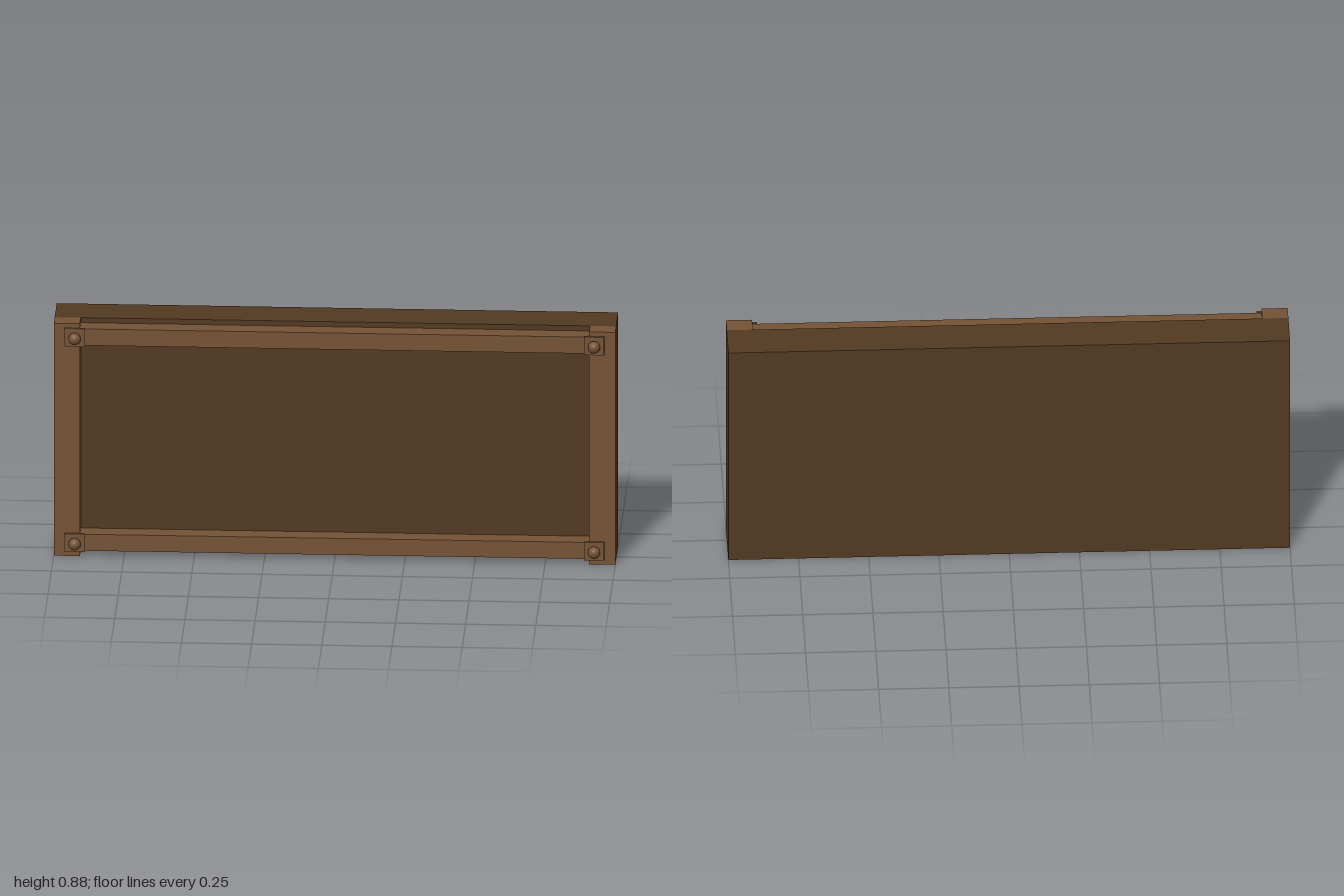
import * as THREE from 'three';

export function createModel() {
  const model = new THREE.Group();
  const darkWood = new THREE.MeshStandardMaterial({ color: 0x533a22 });
  darkWood.name = 'darkWood';
  const lightWood = new THREE.MeshStandardMaterial({ color: 0x765336 });
  lightWood.name = 'lightWood';

  // Box given by its lower and upper corners
  const box = (name, material, [x0, y0, z0], [x1, y1, z1]) => {
    const mesh = new THREE.Mesh(new THREE.BoxGeometry(x1 - x0, y1 - y0, z1 - z0), material);
    mesh.position.set((x0 + x1) / 2, (y0 + y1) / 2, (z0 + z1) / 2);
    mesh.name = name;
    model.add(mesh);
  };

  const height = 0.876;
  const panelFront = 0.02;
  const frameFront = 0.085;
  const plateFront = 0.095;

  // Thick backing panel
  box('panel', darkWood, [-1, 0, -0.13], [1, height, panelFront]);

  // Upright posts at both ends
  box('leftPost', lightWood, [0.907, 0, panelFront], [1, height, frameFront]);
  box('rightPost', lightWood, [-1, 0, panelFront], [-0.907, height, frameFront]);

  // Rails between the posts, with a corner plate and round stud at each end
  const studGeometry = new THREE.SphereGeometry(0.022, 20, 14);
  for (const [level, y] of [['lower', 0.052], ['upper', 0.826]]) {
    box(level + 'Rail', lightWood, [-0.907, y - 0.031, panelFront], [0.907, y + 0.031, frameFront + 0.002]);
    for (const [side, x] of [['Left', 0.925], ['Right', -0.925]]) {
      box(level + side + 'Plate', lightWood, [x - 0.036, y - 0.034, frameFront], [x + 0.036, y + 0.034, plateFront]);
      const stud = new THREE.Mesh(studGeometry, lightWood);
      stud.name = level + side + 'Stud';
      stud.position.set(x, y, 0.108);
      model.add(stud);
    }
  }
  return model;
}
